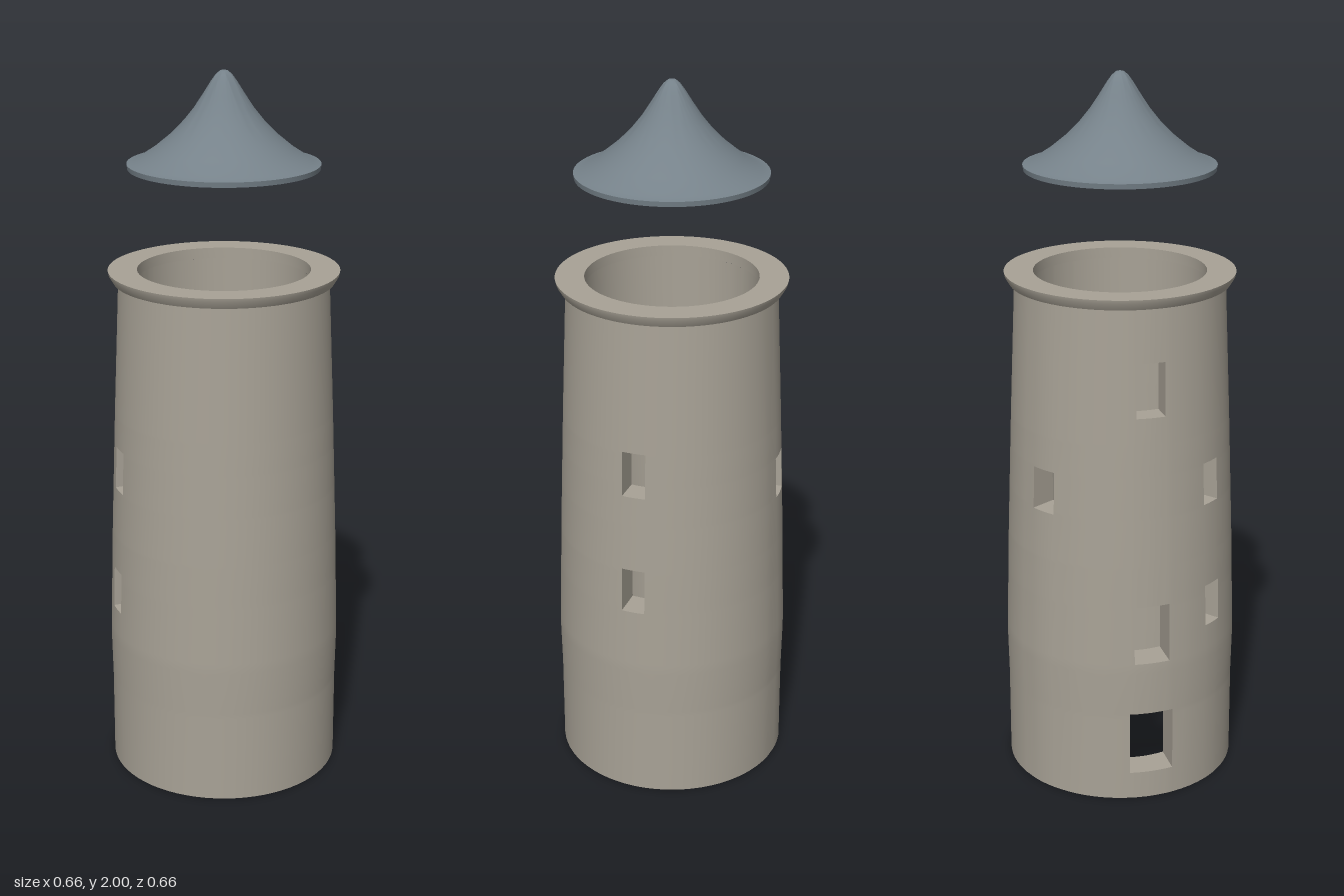
import * as THREE from 'three';
import { toCreasedNormals } from 'three/addons/utils/BufferGeometryUtils.js';

const INNER = 0.238;
const WALL_TOP = 1.43;
const deg = Math.PI / 180;

// outer wall profile: [height, radius]
const PROFILE = [[0, 0.325], [0.25, 0.325], [0.39, 0.328], [0.7, 0.319], [1.05, 0.306], [WALL_TOP, 0.29]];

// openings grouped by direction (degrees from the front towards +x): [width, bottom, top]
const OPENINGS = [
  { angle: -57, holes: [[0.125, 0.08, 0.265], [0.1, 0.42, 0.59], [0.08, 1.13, 1.28]] },
  { angle: -20, holes: [[0.063, 0.49, 0.61], [0.063, 0.85, 0.97]] },
  { angle: 150, holes: [[0.066, 0.58, 0.71], [0.066, 0.93, 1.06]] },
  { angle: -115, holes: [[0.076, 0.84, 0.96]] },
];

function outerRadius(y) {
  for (let k = 1; k < PROFILE.length; k++) {
    const [y0, r0] = PROFILE[k - 1], [y1, r1] = PROFILE[k];
    if (y <= y1) return r0 + (r1 - r0) * (y - y0) / (y1 - y0);
  }
  return PROFILE[PROFILE.length - 1][1];
}

// columns run round the tower; those at an opening keep its sides parallel through the wall
function wallColumns() {
  const cols = [];
  for (let a = -180; a < 180; a += 5) {
    const clear = OPENINGS.every((o) => {
      const half = Math.max(...o.holes.map((h) => h[0])) / 2;
      return Math.abs(a - o.angle) > Math.asin(half / INNER) / deg + 1;
    });
    if (clear) cols.push({ angle: a, offset: 0, group: null });
  }
  for (const o of OPENINGS) {
    const offsets = new Set([0, -0.016, 0.016]);
    o.holes.forEach(([w]) => offsets.add(w / 2).add(-w / 2));
    offsets.forEach((offset) => cols.push({ angle: o.angle, offset, group: o }));
  }
  const at = (c) => c.angle * deg + Math.asin(c.offset / INNER);
  return cols.sort((a, b) => at(a) - at(b));
}

function wallRows() {
  const ys = new Set(PROFILE.map((p) => p[0]));
  OPENINGS.forEach((o) => o.holes.forEach(([, y0, y1]) => ys.add(y0).add(y1)));
  return [...ys].sort((a, b) => a - b);
}

function buildWall(material) {
  const cols = wallColumns(), rows = wallRows(), n = cols.length;
  const point = (i, j, outside) => {
    const c = cols[(i + n) % n], y = rows[j];
    const r = outside ? outerRadius(y) : INNER;
    const t = c.angle * deg + Math.asin(c.offset / r);
    return [r * Math.sin(t), y, r * Math.cos(t)];
  };
  const isHole = (i, j) => {
    const a = cols[(i + n) % n], b = cols[(i + 1) % n];
    if (!a.group || a.group !== b.group) return false;
    const x = (a.offset + b.offset) / 2, y = (rows[j] + rows[j + 1]) / 2;
    return a.group.holes.some(([w, y0, y1]) => Math.abs(x) < w / 2 && y > y0 && y < y1);
  };

  const skin = (outside) => {
    const pos = [], idx = [];
    for (let j = 0; j < rows.length; j++) for (let i = 0; i < n; i++) pos.push(...point(i, j, outside));
    for (let j = 0; j < rows.length - 1; j++) for (let i = 0; i < n; i++) {
      if (isHole(i, j)) continue;
      const a = j * n + i, b = j * n + (i + 1) % n, c = b + n, d = a + n;
      if (outside) idx.push(a, b, c, a, c, d);
      else idx.push(a, c, b, a, d, c);
    }
    const g = new THREE.BufferGeometry();
    g.setAttribute('position', new THREE.Float32BufferAttribute(pos, 3));
    g.setIndex(idx);
    g.computeVertexNormals();
    return g;
  };

  // sills, heads and side faces of the openings
  const reveals = [];
  const quad = (a, b, c, d) => reveals.push(...a, ...b, ...c, ...a, ...c, ...d);
  for (let j = 0; j < rows.length - 1; j++) for (let i = 0; i < n; i++) {
    if (!isHole(i, j)) continue;
    const o = (di, dj) => point(i + di, j + dj, true);
    const s = (di, dj) => point(i + di, j + dj, false);
    if (!isHole(i, j - 1)) quad(o(0, 0), o(1, 0), s(1, 0), s(0, 0));
    if (!isHole(i, j + 1)) quad(o(0, 1), s(0, 1), s(1, 1), o(1, 1));
    if (!isHole(i - 1, j)) quad(o(0, 0), s(0, 0), s(0, 1), o(0, 1));
    if (!isHole(i + 1, j)) quad(o(1, 0), o(1, 1), s(1, 1), s(1, 0));
  }
  const revealGeo = new THREE.BufferGeometry();
  revealGeo.setAttribute('position', new THREE.Float32BufferAttribute(reveals, 3));
  revealGeo.computeVertexNormals();

  const group = new THREE.Group();
  group.name = 'towerWall';
  group.add(
    named('outerWall', skin(true), material),
    named('innerWall', skin(false), material),
    named('openingReveals', revealGeo, material),
  );
  return group;
}

function named(name, geometry, material) {
  const mesh = new THREE.Mesh(geometry, material);
  mesh.name = name;
  return mesh;
}

function lathe(points, crease = 0.5) {
  const g = new THREE.LatheGeometry(points.map(([r, y]) => new THREE.Vector2(r, y)), 72);
  return toCreasedNormals(g, crease);
}

export function createModel() {
  const stone = new THREE.MeshStandardMaterial({ color: 0xa8a296 });
  const slate = new THREE.MeshStandardMaterial({ color: 0x76828a });
  const model = new THREE.Group();
  model.name = 'tower';

  model.add(buildWall(stone));

  // underside of the wall
  const foot = new THREE.RingGeometry(INNER, PROFILE[0][1], 72).rotateX(Math.PI / 2);
  model.add(named('wallFoot', foot, stone));

  // flared rim on top of the wall
  model.add(named('topRim', lathe([
    [0.288, WALL_TOP], [0.304, WALL_TOP], [0.316, 1.45], [0.318, 1.46], [INNER, 1.46], [INNER, WALL_TOP],
  ]), stone));

  // hollow bell-shaped roof floating above
  model.add(named('roof', lathe([
    [0, 1.972], [0.03, 1.94], [0.07, 1.882], [0.13, 1.815], [0.235, 1.738],
    [0.26, 1.738], [0.262, 1.752], [0.24, 1.757],
    [0.19, 1.79], [0.145, 1.827], [0.108, 1.865], [0.08, 1.9], [0.055, 1.938], [0.035, 1.97],
    [0.022, 1.988], [0.01, 1.998], [0, 2],
  ], 0.7), slate));

  return model;
}
